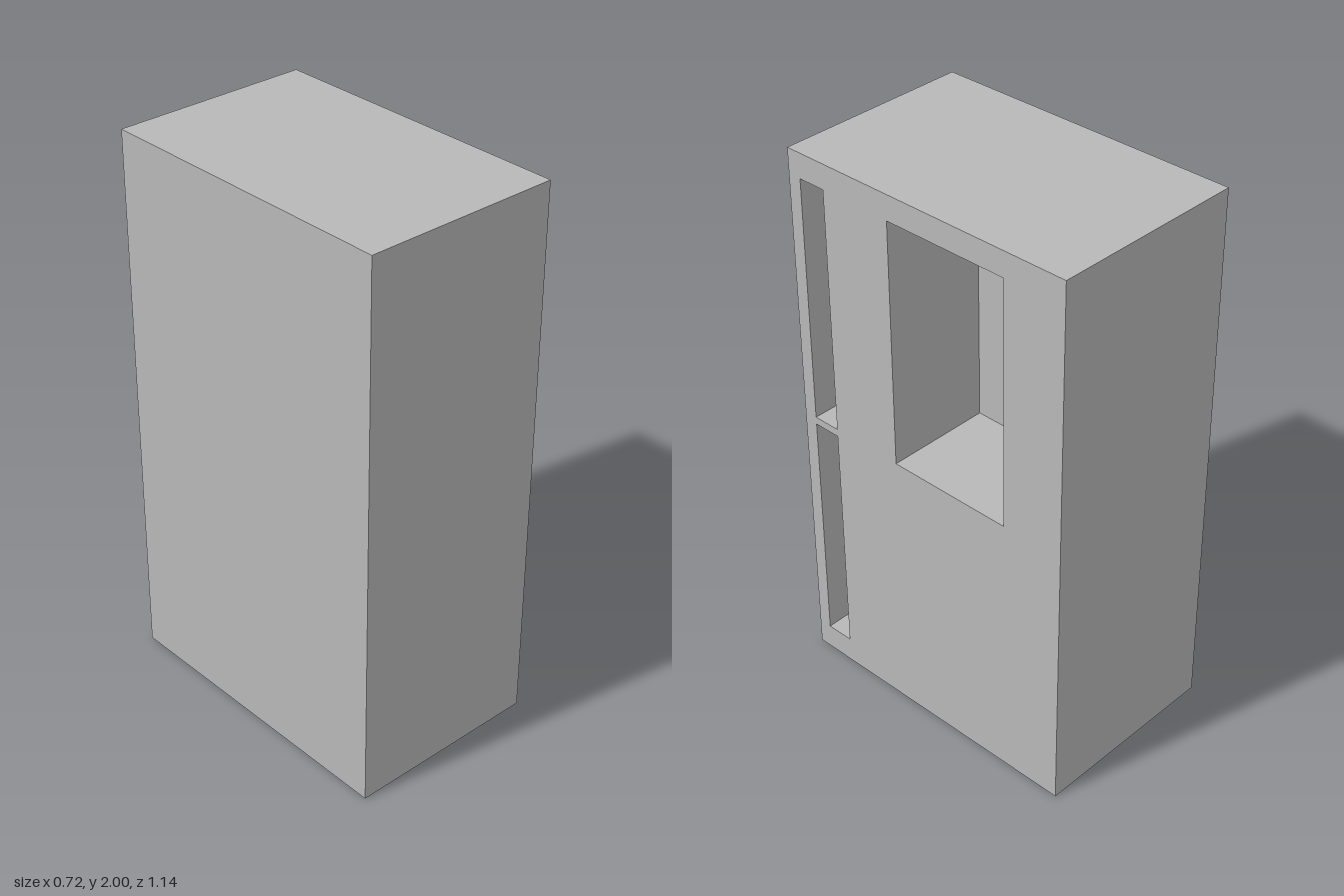
import * as THREE from 'three';

const W = 0.72, H = 2, D = 1.14; // cabinet size
const DEPTH = 0.39; // pocket depth

// Recesses in the +x side: z range and y range
const RECESSES = [
  { name: 'upperSlot', z: [0.417, 0.52], y: [1.015, 1.91] },
  { name: 'lowerSlot', z: [0.417, 0.52], y: [0.095, 0.987] },
  { name: 'windowRecess', z: [-0.335, 0.14], y: [1.015, 1.91] },
];

// Box without its +x face; inward turns the faces to the inside
function openBox(w, h, d, inward) {
  const geo = new THREE.BoxGeometry(w, h, d);
  let index = Array.from(geo.index.array).slice(6);
  if (inward) {
    index = index.reverse();
    const n = geo.attributes.normal;
    for (let i = 0; i < n.count; i++) n.setXYZ(i, -n.getX(i), -n.getY(i), -n.getZ(i));
  }
  geo.clearGroups();
  geo.setIndex(index);
  return geo;
}

function rectangle(path, x0, x1, y0, y1) {
  path.moveTo(x0, y0);
  path.lineTo(x1, y0);
  path.lineTo(x1, y1);
  path.lineTo(x0, y1);
  path.closePath();
  return path;
}

export function createModel() {
  const group = new THREE.Group();
  group.name = 'cabinet';
  const grey = new THREE.MeshStandardMaterial({ color: 0xb8b8b8 });
  grey.name = 'grey';

  const add = (name, geo, x, y, z) => {
    const mesh = new THREE.Mesh(geo, grey);
    mesh.name = name;
    mesh.position.set(x, y, z);
    group.add(mesh);
    return mesh;
  };

  // Outer shell, open on the recessed side
  add('body', openBox(W, H, D, false), 0, H / 2, 0);

  // Side panel with cut-outs, drawn in (-z, y) and turned to face +x
  const panel = rectangle(new THREE.Shape(), -D / 2, D / 2, 0, H);
  for (const { z, y } of RECESSES) {
    panel.holes.push(rectangle(new THREE.Path(), -z[1], -z[0], y[0], y[1]));
  }
  add('sidePanel', new THREE.ShapeGeometry(panel), W / 2, 0, 0).rotation.y = Math.PI / 2;

  // Pocket walls behind each cut-out
  for (const { name, z, y } of RECESSES) {
    add(name, openBox(DEPTH, y[1] - y[0], z[1] - z[0], true),
      W / 2 - DEPTH / 2, (y[0] + y[1]) / 2, (z[0] + z[1]) / 2);
  }
  return group;
}
